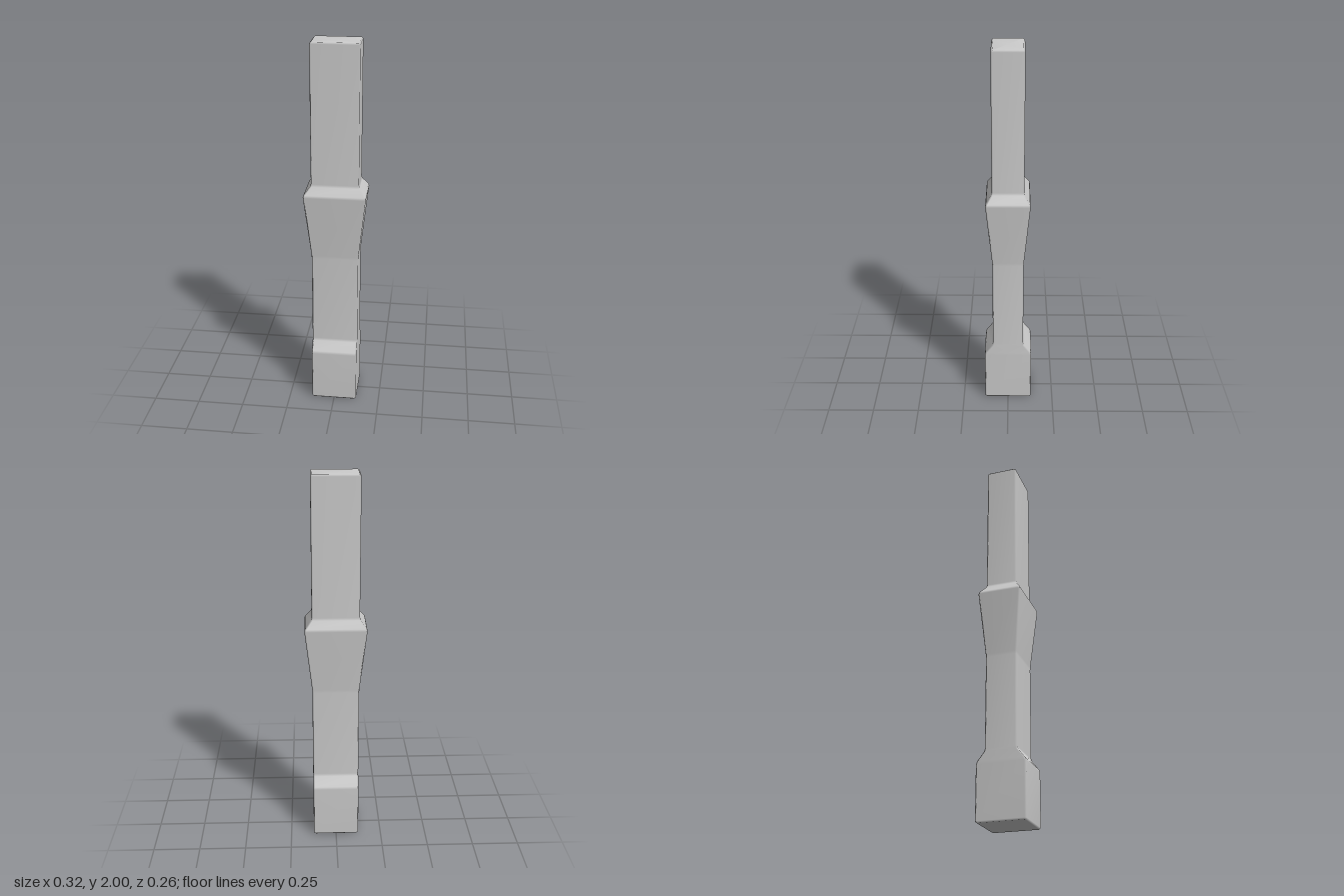
import * as THREE from 'three';

// Octagonal ring: a rectangle with its corners cut by c
function ring([y, hx, hz], c) {
  const a = hx - c, b = hz - c;
  return [
    [hx, -b], [hx, b], [a, hz], [-a, hz],
    [-hx, b], [-hx, -b], [-a, -hz], [a, -hz],
  ].map(([x, z]) => [x, y, z]);
}

// Point at distance d from p towards q
function towards(p, q, d) {
  const t = d / Math.hypot(...p.map((v, i) => q[i] - v));
  return p.map((v, i) => v + (q[i] - v) * t);
}

// Lofted post through [y, halfWidth, halfDepth] sections, every edge bevelled
function bevelledPost(sections, bevel) {
  const last = sections.length - 1;
  const inset = ([y, hx, hz]) => [y, hx - bevel, hz - bevel];
  const rings = [ring(inset(sections[0]), bevel * 0.3)];
  sections.forEach((s, i) => {
    if (i > 0) rings.push(ring(towards(s, sections[i - 1], bevel), bevel));
    if (i < last) rings.push(ring(towards(s, sections[i + 1], bevel), bevel));
  });
  rings.push(ring(inset(sections[last]), bevel * 0.3));

  const positions = rings.flat(2), index = [], n = 8;
  for (let r = 0; r < rings.length - 1; r++) {
    for (let j = 0; j < n; j++) {
      const k = (j + 1) % n;
      const a = r * n + j, b = r * n + k;
      index.push(a, a + n, b, b, a + n, b + n);
    }
  }
  // End caps
  const base = rings.length * n, top = base - n;
  positions.push(0, sections[0][0], 0, 0, sections[last][0], 0);
  for (let j = 0; j < n; j++) {
    const k = (j + 1) % n;
    index.push(base, j, k, base + 1, top + k, top + j);
  }
  const geometry = new THREE.BufferGeometry();
  geometry.setAttribute('position', new THREE.Float32BufferAttribute(positions, 3));
  geometry.setIndex(index);
  geometry.computeVertexNormals(); // area weighting keeps the broad faces flat
  return geometry;
}

export function createModel() {
  const group = new THREE.Group();
  group.name = 'post';
  const sections = [
    [0, 0.124, 0.129],      // foot
    [0.295, 0.124, 0.129],
    [0.355, 0.124, 0.083],  // lower shaft
    [0.86, 0.124, 0.083],
    [1.215, 0.163, 0.116],  // flared collar
    [1.265, 0.124, 0.083],  // upper shaft
    [2, 0.124, 0.083],
  ];
  const post = new THREE.Mesh(
    bevelledPost(sections, 0.008),
    new THREE.MeshStandardMaterial({ color: 0xcccccc }),
  );
  post.name = 'flaredPost';
  group.add(post);
  return group;
}
